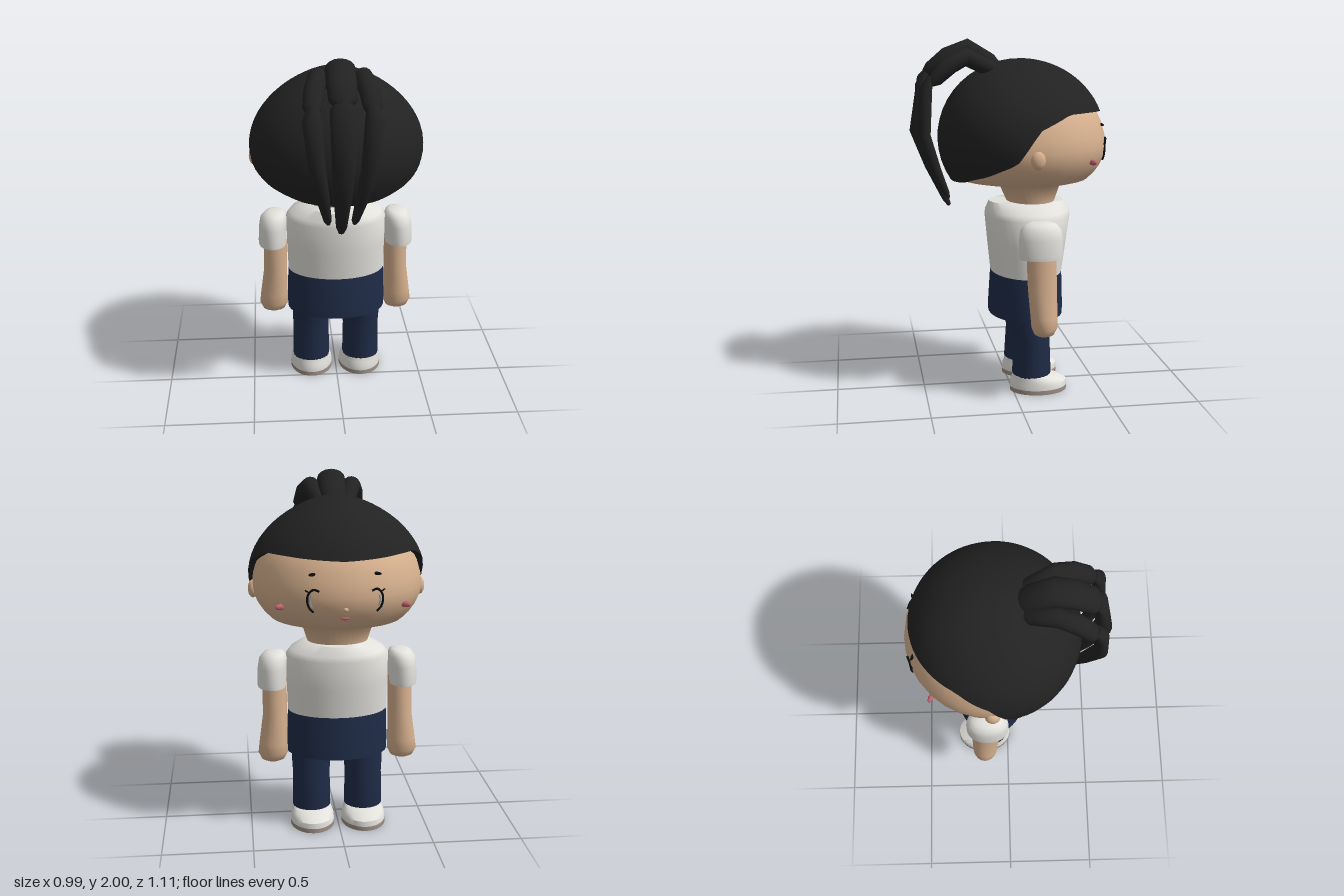
import * as THREE from 'three';
import { toCreasedNormals } from 'three/addons/utils/BufferGeometryUtils.js';

function material(name, color, side = THREE.FrontSide) {
  const m = new THREE.MeshStandardMaterial({ color, side });
  m.name = name;
  return m;
}

// Closed-around surface: rows of n points, point(i, j) gives [x, y, z]
function surface(rows, n, point, crease = 0.8) {
  const pos = [], idx = [];
  for (let i = 0; i < rows; i++)
    for (let j = 0; j < n; j++) pos.push(...point(i, j));
  for (let i = 0; i < rows - 1; i++)
    for (let j = 0; j < n; j++) {
      const a = i * n + j, b = i * n + (j + 1) % n;
      idx.push(a, b, a + n, b, b + n, a + n);
    }
  const g = new THREE.BufferGeometry();
  g.setAttribute('position', new THREE.Float32BufferAttribute(pos, 3));
  g.setIndex(idx);
  return toCreasedNormals(g, crease);
}

// Level elliptical rings from bottom to top: [x, y, z, rx, rz], closed at both ends
function stack(rings, n = 32, crease) {
  const cap = r => [r[0], r[1], r[2], 0, 0];
  const all = [cap(rings[0]), ...rings, cap(rings[rings.length - 1])];
  return surface(all.length, n, (i, j) => {
    const [x, y, z, rx, rz] = all[i], a = j / n * Math.PI * 2;
    return [x + rx * Math.cos(a), y, z - rz * Math.sin(a)];
  }, crease);
}

// Tapered lock of hair along a path: [x, y, z, half width, half thickness]
function lock(path, n = 16) {
  const p = path.map(q => new THREE.Vector3(q[0], q[1], q[2]));
  const all = [0, ...path.keys(), path.length - 1];
  return surface(all.length, n, (i, j) => {
    const k = all[i], end = i === 0 || i === all.length - 1;
    const d = p[Math.min(k + 1, p.length - 1)].clone().sub(p[Math.max(k - 1, 0)]).normalize();
    const v = d.clone().cross(new THREE.Vector3(1, 0, 0)).normalize();
    const u = v.clone().cross(d);
    const a = j / n * Math.PI * 2, s = end ? 0 : 1;
    const o = p[k].clone().addScaledVector(u, s * path[k][3] * Math.cos(a))
      .addScaledVector(v, s * path[k][4] * Math.sin(a));
    return [o.x, o.y, o.z];
  }, 1.0);
}

// Piecewise linear lookup in [key, value] pairs
function lookup(table, t) {
  for (let i = 1; i < table.length; i++) {
    const [a, va] = table[i - 1], [b, vb] = table[i];
    if (t <= b) return va + (vb - va) * Math.max(0, (t - a) / (b - a));
  }
  return table[table.length - 1][1];
}

export function createModel() {
  const model = new THREE.Group();
  model.name = 'child';
  const skin = material('skin', 0xd6b08e);
  const hair = material('hair', 0x222222, THREE.DoubleSide);
  const white = material('white cloth', 0xe2e1dc);
  const navy = material('navy cloth', 0x1f2c48);
  const sole = material('sole', 0x9c8f86);
  const pink = material('pink', 0xc4606c);
  const black = material('black', 0x0c0c0c);
  const grey = material('eye highlight', 0x9aa5ac);
  const add = (name, geo, mat) => {
    const m = new THREE.Mesh(geo, mat);
    m.name = name;
    model.add(m);
    return m;
  };
  const ball = (name, mat, at, size) => {
    const m = add(name, new THREE.SphereGeometry(1, 16, 12), mat);
    m.position.set(...at);
    m.scale.set(...size);
    return m;
  };

  // Head and neck; the face looks towards -z
  const headZ = -0.08;
  const profile = [[1.225, 0.37], [1.265, 0.41], [1.31, 0.442], [1.36, 0.463], [1.41, 0.47], [1.47, 0.462],
    [1.54, 0.442], [1.6, 0.413], [1.68, 0.34], [1.78, 0.18]];
  add('head', stack([[0, 1.06, -0.125, 0.17, 0.135], [0, 1.09, -0.125, 0.17, 0.138],
    [0, 1.185, -0.12, 0.2, 0.175], ...profile.map(([y, r]) => [0, y, headZ, r, r])], 32, 1.2), skin);
  const onFace = (x, y, lift = 0) =>
    new THREE.Vector3(x, y, headZ - Math.sqrt(lookup(profile, y) ** 2 - x * x) - lift);

  // Hair cap with a hemline that rises from the nape to the fringe
  const hem = [[0, 1.215], [0.5, 1.228], [1.0, 1.285], [1.38, 1.36], [1.47, 1.42], [1.55, 1.475], [1.66, 1.54],
    [1.86, 1.578], [2.05, 1.612], [2.4, 1.612], [Math.PI, 1.597]];
  const rows = 18, around = 72;
  add('hairCap', surface(rows, around, (i, j) => {
    const a = j / around * Math.PI * 2, c = Math.cos(a), s = -Math.sin(a);
    const low = Math.acos((lookup(hem, Math.acos(s)) - 1.45) / 0.44);
    const polar = i === 0 ? low : low * (1 - (i - 1) / (rows - 2));
    const f = Math.sin(polar), inset = i === 0 ? 0.92 : 1;
    const depth = s > 0 ? 0.462 : 0.482;
    return [0.49 * inset * c * f ** 1.25, 1.45 + 0.44 * Math.cos(polar), -0.062 + depth * inset * s * f];
  }), hair);

  // Ponytail: three bent locks, each an upper roll and a hanging tail
  add('ponytailRollCentre', lock([[0, 1.82, 0.05, 0.05, 0.03], [0, 1.87, 0.11, 0.075, 0.05],
    [0, 1.945, 0.235, 0.08, 0.055], [0, 1.9, 0.34, 0.08, 0.055], [0, 1.83, 0.435, 0.075, 0.045],
    [0, 1.81, 0.465, 0.045, 0.025]]), hair);
  add('ponytailTailCentre', lock([[0, 1.83, 0.45, 0.04, 0.02], [0, 1.79, 0.475, 0.07, 0.035],
    [0, 1.5, 0.512, 0.062, 0.045], [0, 1.3, 0.44, 0.048, 0.035], [0, 1.11, 0.36, 0.03, 0.02],
    [0, 1.07, 0.34, 0.015, 0.01]]), hair);

  for (const s of [-1, 1]) {
    const side = s > 0 ? 'Left' : 'Right';
    add('ponytailRoll' + side, lock([[s * 0.07, 1.8, 0.07, 0.03, 0.03], [s * 0.085, 1.84, 0.12, 0.045, 0.045],
      [s * 0.12, 1.905, 0.25, 0.052, 0.05], [s * 0.14, 1.865, 0.34, 0.055, 0.05],
      [s * 0.155, 1.79, 0.42, 0.052, 0.04], [s * 0.155, 1.765, 0.45, 0.03, 0.02]]), hair);
    add('ponytailTail' + side, lock([[s * 0.15, 1.8, 0.445, 0.03, 0.02], [s * 0.16, 1.74, 0.475, 0.05, 0.035],
      [s * 0.135, 1.48, 0.49, 0.045, 0.04], [s * 0.1, 1.28, 0.42, 0.034, 0.03],
      [s * 0.075, 1.15, 0.36, 0.022, 0.016], [s * 0.07, 1.125, 0.35, 0.01, 0.008]]), hair);

    // Ear, cheek
    ball('ear' + side, skin, [s * 0.465, 1.38, -0.085], [0.028, 0.05, 0.04]);
    ball('cheek' + side, pink, [s * 0.332, 1.345, -0.41], [0.03, 0.016, 0.014]).rotation.y = s * 0.5;

    // Eye: a curved lash line bulging outwards, with a pale glint inside
    const line = (pts, r, lift) => new THREE.TubeGeometry(
      new THREE.CatmullRomCurve3(pts.map(([x, y]) => onFace(s * x, y, lift))), 20, r, 8);
    add('eyeLine' + side, line([[0.135, 1.447], [0.165, 1.455], [0.19, 1.432], [0.197, 1.395],
      [0.185, 1.355], [0.165, 1.335]], 0.006, 0.004), black);
    add('eyeGlint' + side, line([[0.176, 1.425], [0.183, 1.395], [0.174, 1.362]], 0.004, 0.003), grey);
    add('lash' + side, line([[0.185, 1.438], [0.207, 1.45]], 0.004, 0.004), black);

    // Eyebrow
    const brow = onFace(s * 0.165, 1.53);
    ball('eyebrow' + side, black, [brow.x, brow.y, brow.z], [0.027, 0.009, 0.008]).rotation.y = s * 0.4;

    // Arm with a rounded hand, and a puffed sleeve
    add('arm' + side, stack([[s * 0.37, 0.39, -0.14, 0.035, 0.035], [s * 0.37, 0.402, -0.14, 0.065, 0.055],
      [s * 0.37, 0.44, -0.142, 0.084, 0.072], [s * 0.367, 0.5, -0.14, 0.08, 0.075],
      [s * 0.357, 0.66, -0.132, 0.068, 0.081], [s * 0.355, 0.88, -0.125, 0.068, 0.083]], 20, 1.2), skin);
    add('sleeve' + side, stack([[s * 0.37, 0.83, -0.12, 0.08, 0.118], [s * 0.37, 0.85, -0.12, 0.082, 0.12],
      [s * 0.368, 0.94, -0.12, 0.08, 0.12], [s * 0.362, 0.99, -0.12, 0.078, 0.112],
      [s * 0.355, 1.02, -0.12, 0.06, 0.085], [s * 0.35, 1.03, -0.12, 0.04, 0.05]], 24), white);

    // Trouser leg
    add('leg' + side, stack([[s * 0.15, 0.09, -0.11, 0.107, 0.108], [s * 0.15, 0.11, -0.11, 0.11, 0.112],
      [s * 0.15, 0.3, -0.112, 0.106, 0.102], [s * 0.15, 0.36, -0.105, 0.11, 0.112],
      [s * 0.15, 0.5, -0.1, 0.11, 0.115]], 24), navy);

    // Shoe
    add('sole' + side, stack([[s * 0.148, 0, -0.15, 0.126, 0.165], [s * 0.148, 0.025, -0.15, 0.126, 0.165]]), sole);
    add('shoe' + side, stack([[s * 0.148, 0.025, -0.15, 0.125, 0.164], [s * 0.148, 0.055, -0.149, 0.123, 0.162],
      [s * 0.149, 0.075, -0.135, 0.117, 0.14], [s * 0.15, 0.1, -0.11, 0.107, 0.11]]), white);
  }

  // Nose and mouth
  const nose = onFace(0, 1.352), mouth = onFace(0, 1.3);
  ball('nose', skin, [0, nose.y, nose.z - 0.006], [0.013, 0.012, 0.012]);
  ball('mouth', pink, [0, mouth.y, mouth.z], [0.024, 0.009, 0.009]);

  // Shirt and the top of the trousers
  add('shirt', stack([[0, 0.68, -0.1, 0.28, 0.203], [0, 0.85, -0.103, 0.286, 0.224],
    [0, 1.01, -0.107, 0.288, 0.243], [0, 1.04, -0.106, 0.265, 0.238], [0, 1.09, -0.1, 0.175, 0.213]], 40), white);
  add('trouserTop', stack([[0, 0.435, -0.097, 0.285, 0.213], [0, 0.5, -0.097, 0.288, 0.213],
    [0, 0.682, -0.1, 0.281, 0.204]], 40), navy);

  return model;
}
